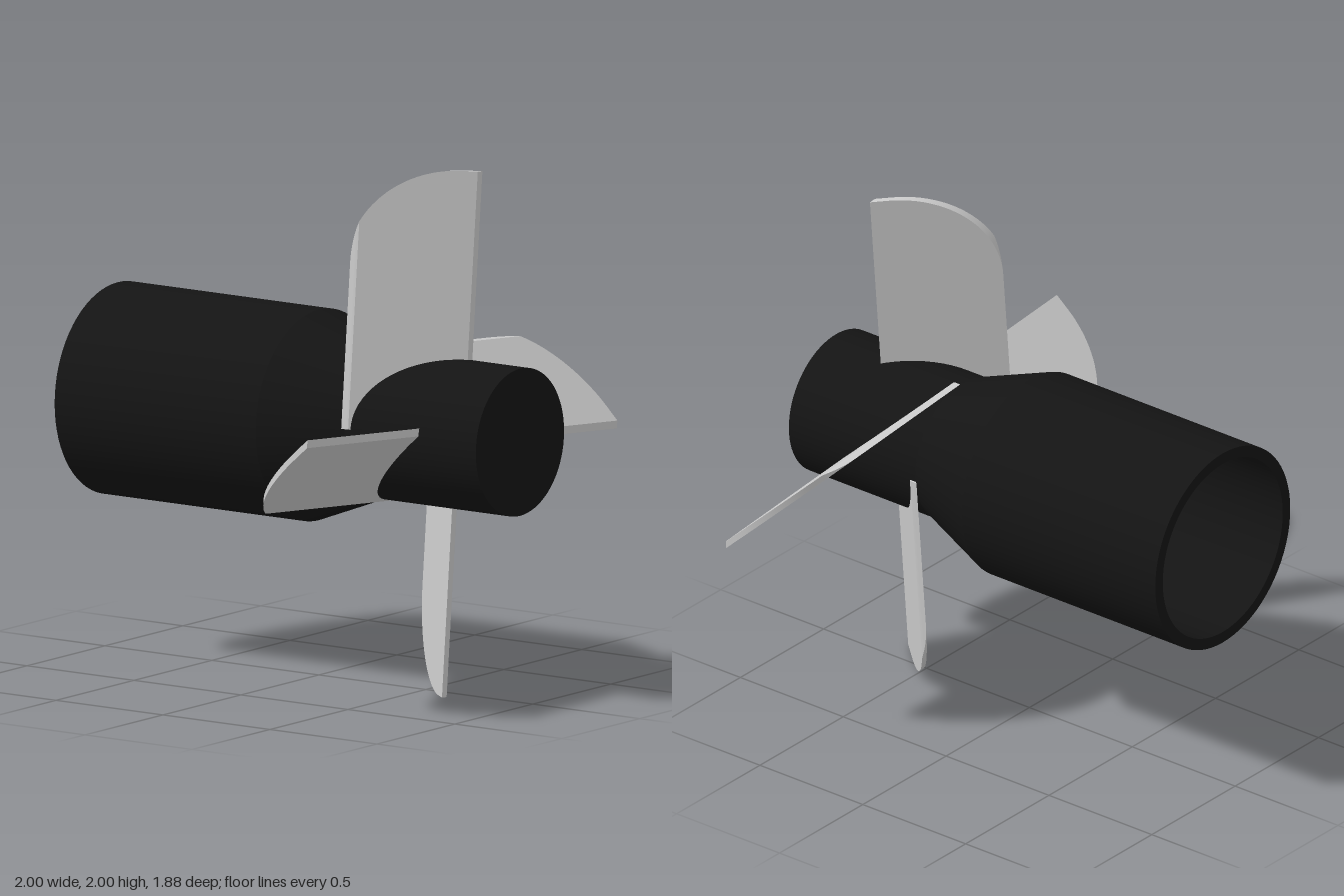
import * as THREE from 'three';
import { toCreasedNormals } from 'three/addons/utils/BufferGeometryUtils.js';

const Z_BACK = 0.315, Z_FRONT = 0.67;

// Pitched blade along +y: rectangular sections lofted along z, with a rounded trailing tip
function bladeGeometry() {
  const sections = [];
  const addSection = (z, tip) => {
    const lo = Math.max(-0.29, 0.01 - 0.923 * (Z_FRONT - z));
    const hi = 0.04 - 0.93 * (Z_FRONT - z);
    sections.push([[lo, 0, z], [hi, 0, z], [hi, tip, z], [lo, tip, z]]);
  };
  const steps = 24, zArc = 0.62;
  for (let i = 0; i <= steps; i++) {
    const a = (i / steps) * Math.PI / 2;
    addSection(zArc - (zArc - Z_BACK) * Math.cos(a), 0.63 + 0.37 * Math.sin(a));
  }
  addSection(Z_FRONT, 1);

  const pos = [];
  const quad = (a, b, c, d) => pos.push(...a, ...b, ...c, ...a, ...c, ...d);
  for (let i = 1; i < sections.length; i++) {
    const p = sections[i - 1], q = sections[i];
    for (let k = 0; k < 4; k++) {
      const n = (k + 1) % 4;
      quad(p[k], p[n], q[n], q[k]);
    }
  }
  const first = sections[0], last = sections[sections.length - 1];
  quad(first[3], first[2], first[1], first[0]);
  quad(...last);

  const geo = new THREE.BufferGeometry();
  geo.setAttribute('position', new THREE.Float32BufferAttribute(pos, 3));
  return toCreasedNormals(geo, 0.3);
}

export function createModel() {
  const model = new THREE.Group();
  model.name = 'propeller';
  const dark = new THREE.MeshStandardMaterial({ color: 0x141414 });
  const grey = new THREE.MeshStandardMaterial({ color: 0xcccccc });

  // Hub: solid nose, tapered shoulder and a hollow rear sleeve
  const profile = [
    [0, -0.2], [0.36, -0.2], [0.36, -0.94], [0.405, -0.94],
    [0.405, 0], [0.283, 0.325], [0.283, 0.94], [0, 0.94],
  ].map(([r, z]) => new THREE.Vector2(r, z));
  const hubGeo = new THREE.LatheGeometry(profile, 72);
  hubGeo.rotateX(Math.PI / 2);
  const hub = new THREE.Mesh(toCreasedNormals(hubGeo, 0.3), dark);
  hub.name = 'hub';
  hub.position.y = 1;
  model.add(hub);

  // Four blades around the hub
  const blades = new THREE.Group();
  blades.name = 'blades';
  blades.position.y = 1;
  const geo = bladeGeometry();
  for (let i = 0; i < 4; i++) {
    const blade = new THREE.Mesh(geo, grey);
    blade.name = 'blade';
    blade.rotation.z = -0.09 - i * Math.PI / 2;
    blades.add(blade);
  }
  model.add(blades);
  return model;
}
